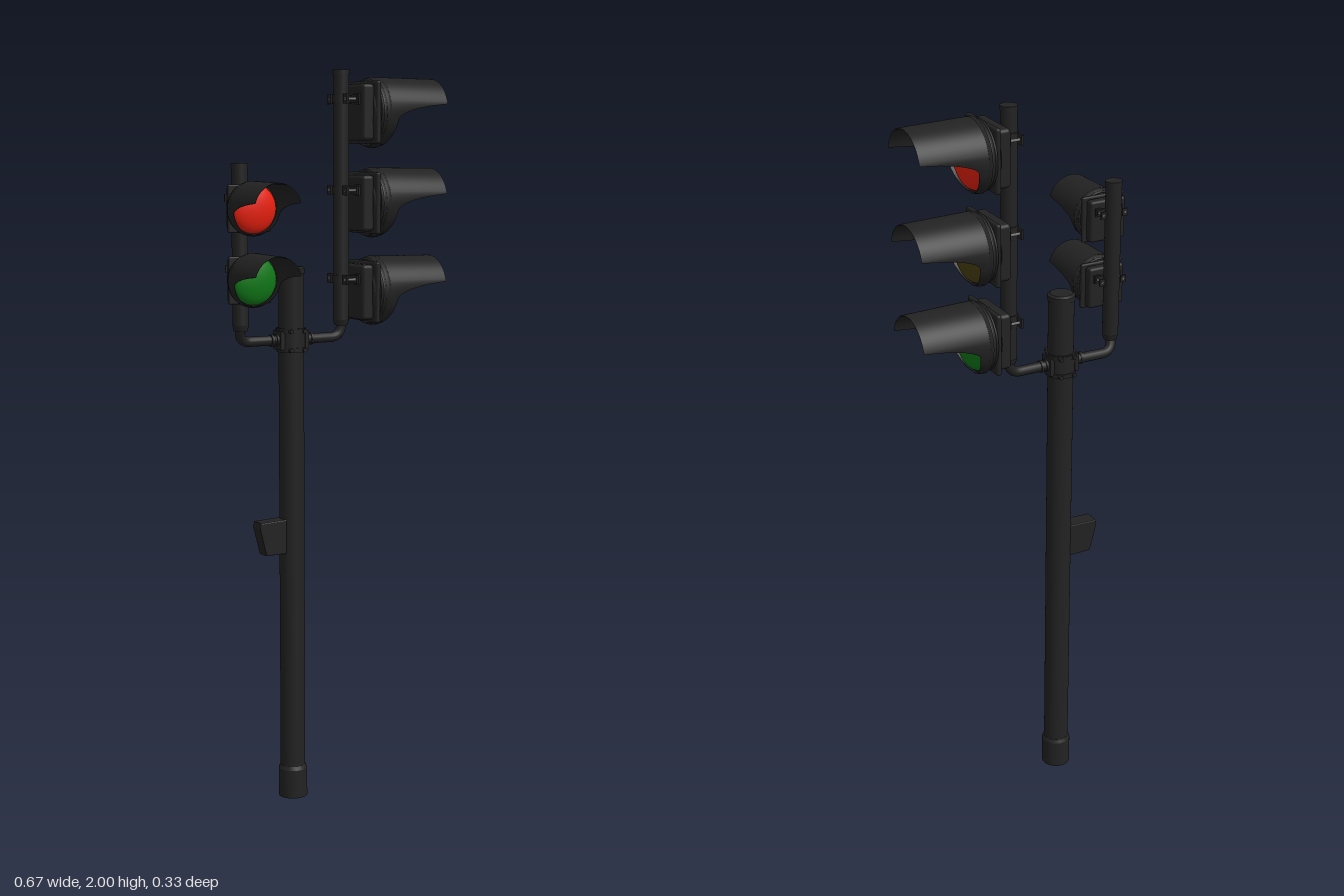
import * as THREE from 'three';
import { RoundedBoxGeometry } from 'three/addons/geometries/RoundedBoxGeometry.js';

const material = (color, side = THREE.FrontSide) => new THREE.MeshStandardMaterial({ color, side });
const dark = material(0x222222);
const darkThin = material(0x222222, THREE.DoubleSide);
const steel = material(0x6c6c6c);
const red = material(0xe8200f);
const amber = material(0x4a4010);
const green = material(0x107818);

function add(parent, name, geometry, mat, x = 0, y = 0, z = 0) {
  const mesh = new THREE.Mesh(geometry, mat);
  mesh.name = name;
  mesh.position.set(x, y, z);
  parent.add(mesh);
  return mesh;
}

// Vertical cylinder between two heights
function column(parent, name, r, y0, y1, x, z, rTop = r) {
  return add(parent, name, new THREE.CylinderGeometry(rTop, r, y1 - y0, 32), dark, x, (y0 + y1) / 2, z);
}

// Lathe profile of [radius, z] points turned to face +z
function turned(points, segments = 40) {
  const g = new THREE.LatheGeometry(points.map(([r, z]) => new THREE.Vector2(r, z)), segments);
  return g.rotateX(Math.PI / 2);
}

// Cutaway hood: a tube whose length depends on the angle from its top
function visorGeometry() {
  const steps = 96, pos = [], index = [];
  const zBack = 0.098;
  for (let i = 0; i <= steps; i++) {
    const a = -Math.PI + (i / steps) * 2 * Math.PI;
    const t = THREE.MathUtils.smoothstep(Math.abs(a), 1.33, 1.78);
    const low = 0.128 - 0.02 * Math.max(0, (Math.abs(a) - 1.78) / 1.36);
    const zFront = THREE.MathUtils.lerp(0.285, low, Math.pow(t, 0.3));
    // outer wall, front lip, inner wall
    for (const [r, z] of [[0.0945, zBack], [0.092, zFront], [0.089, zFront], [0.0905, zBack]])
      pos.push(Math.sin(a) * r, Math.cos(a) * r, z);
    if (i === steps) break;
    for (let k = 0; k < 3; k++) {
      const p = i * 4 + k, q = p + 4;
      index.push(p, p + 1, q, q, p + 1, q + 1);
    }
  }
  const g = new THREE.BufferGeometry();
  g.setAttribute('position', new THREE.Float32BufferAttribute(pos, 3));
  g.setIndex(index);
  g.computeVertexNormals();
  return g;
}

// One signal lamp facing +z; its origin lies on the post axis
function signalHead(name, lensMaterial) {
  const head = new THREE.Group();
  head.name = name;
  add(head, 'rearHousing', new RoundedBoxGeometry(0.14, 0.15, 0.036, 3, 0.01), dark, 0, 0, 0.047);
  add(head, 'mountingPlate', new RoundedBoxGeometry(0.166, 0.166, 0.014, 2, 0.006), dark, 0, 0, 0.071);
  add(head, 'doorRing', turned([[0, 0.06], [0.076, 0.06], [0.082, 0.07], [0.082, 0.078], [0.087, 0.079],
    [0.09, 0.085], [0.09, 0.091], [0.095, 0.093], [0.095, 0.103], [0.086, 0.105], [0, 0.105]]), dark);
  for (const z of [0.08, 0.09])
    add(head, 'ringRib', new THREE.TorusGeometry(0.087, 0.004, 8, 40), dark, 0, 0, z);
  add(head, 'lens', new THREE.SphereGeometry(0.086, 40, 12, 0, Math.PI * 2, 0, Math.PI / 2)
    .scale(1, 0.4, 1).rotateX(Math.PI / 2), lensMaterial, 0, 0, 0.103);
  add(head, 'visor', visorGeometry(), darkThin);
  // Post bracket
  for (const s of [-1, 1]) {
    add(head, 'bracketRod', new THREE.CylinderGeometry(0.004, 0.004, 0.05, 10).rotateX(Math.PI / 2), steel, s * 0.043, 0.035, 0.012);
    add(head, 'bracketEar', new THREE.BoxGeometry(0.022, 0.026, 0.006), dark, s * 0.043, 0.035, -0.01);
    add(head, 'bracketFoot', new THREE.BoxGeometry(0.022, 0.03, 0.008), dark, s * 0.043, 0.035, 0.028);
  }
  add(head, 'bracketStrap', new THREE.CylinderGeometry(0.0245, 0.0245, 0.022, 24), dark, 0, 0.035, 0);
  add(head, 'bracketBar', new THREE.BoxGeometry(0.1, 0.022, 0.008), dark, 0, 0.035, 0.024);
  return head;
}

// Side arm that bends upward into a signal post
function armAndPost(parent, side, x, z, top) {
  const y = 1.283, poleX = -0.105, poleZ = -0.07, dir = Math.sign(x - poleX);
  const path = new THREE.CurvePath();
  const v = (a, b, c) => new THREE.Vector3(a, b, c);
  const armZ = side === 'right' ? -0.074 : -0.07;
  path.add(new THREE.LineCurve3(v(poleX, y, poleZ), v(x - dir * 0.035, y, armZ)));
  path.add(new THREE.QuadraticBezierCurve3(v(x - dir * 0.035, y, armZ), v(x, y, armZ), v(x, y + 0.035, z)));
  path.add(new THREE.LineCurve3(v(x, y + 0.035, z), v(x, y + 0.06, z)));
  add(parent, side + 'Arm', new THREE.TubeGeometry(path, 60, 0.0135, 16), dark);
  for (const d of [0.045, 0.06])
    add(parent, side + 'ArmCollar', new THREE.CylinderGeometry(0.0165, 0.0165, 0.008, 20).rotateZ(Math.PI / 2), dark, poleX + dir * d, y, poleZ);
  column(parent, side + 'PostCollar', 0.018, 1.315, 1.33, x, z, 0.022);
  column(parent, side + 'Post', 0.0215, 1.33, top, x, z);
  column(parent, side + 'PostCap', 0.0225, top - 0.012, top, x, z);
}

export function createModel() {
  const group = new THREE.Group();
  group.name = 'trafficSignal';
  const px = -0.105, pz = -0.07;

  // Main pole
  column(group, 'pole', 0.0345, 0, 1.47, px, pz);
  column(group, 'poleBase', 0.04, 0, 0.08, px, pz);
  column(group, 'poleBaseBevel', 0.04, 0.08, 0.09, px, pz, 0.035);
  column(group, 'poleCap', 0.037, 1.462, 1.475, px, pz);
  column(group, 'poleCapTop', 0.037, 1.475, 1.48, px, pz, 0.03);

  // Clamp holding both arms
  column(group, 'armClamp', 0.038, 1.25, 1.315, px, pz);
  for (const y of [1.257, 1.308]) {
    column(group, 'clampBand', 0.0405, y - 0.006, y + 0.006, px, pz);
    for (const s of [-1, 1])
      add(group, 'clampBolt', new THREE.CylinderGeometry(0.006, 0.006, 0.086, 10).rotateX(Math.PI / 2), dark, px + s * 0.02, y, pz);
  }
  for (const s of [-1, 1])
    add(group, 'clampFlange', new THREE.BoxGeometry(0.012, 0.05, 0.045), dark, px + s * 0.037, 1.283, pz);

  armAndPost(group, 'left', 0.05, -0.07, 2.0);
  armAndPost(group, 'right', -0.264, -0.058, 1.755);

  // Vehicle signals face +x
  [['red', red, 1.888], ['amber', amber, 1.646], ['green', green, 1.406]].forEach(([n, m, y]) => {
    const head = signalHead(n + 'VehicleSignal', m);
    head.position.set(0.05, y, -0.07);
    head.rotation.y = Math.PI / 2;
    group.add(head);
  });

  // Smaller pedestrian signals face +z
  [['red', red, 1.639], ['green', green, 1.454]].forEach(([n, m, y]) => {
    const head = signalHead(n + 'PedestrianSignal', m);
    head.position.set(-0.266, y, -0.053);
    head.scale.setScalar(0.75);
    group.add(head);
  });

  // Push-button box with a sloped outer face
  const side = new THREE.Shape([[-0.13, 0.70], [-0.13, 0.79], [-0.208, 0.787], [-0.211, 0.775], [-0.192, 0.70]]
    .map(([x, y]) => new THREE.Vector2(x, y)));
  const box = new THREE.ExtrudeGeometry(side, { depth: 0.036, bevelThickness: 0.004, bevelSize: 0.003, bevelSegments: 2 });
  add(group, 'buttonBox', box, dark, 0, 0, pz - 0.02);
  return group;
}
